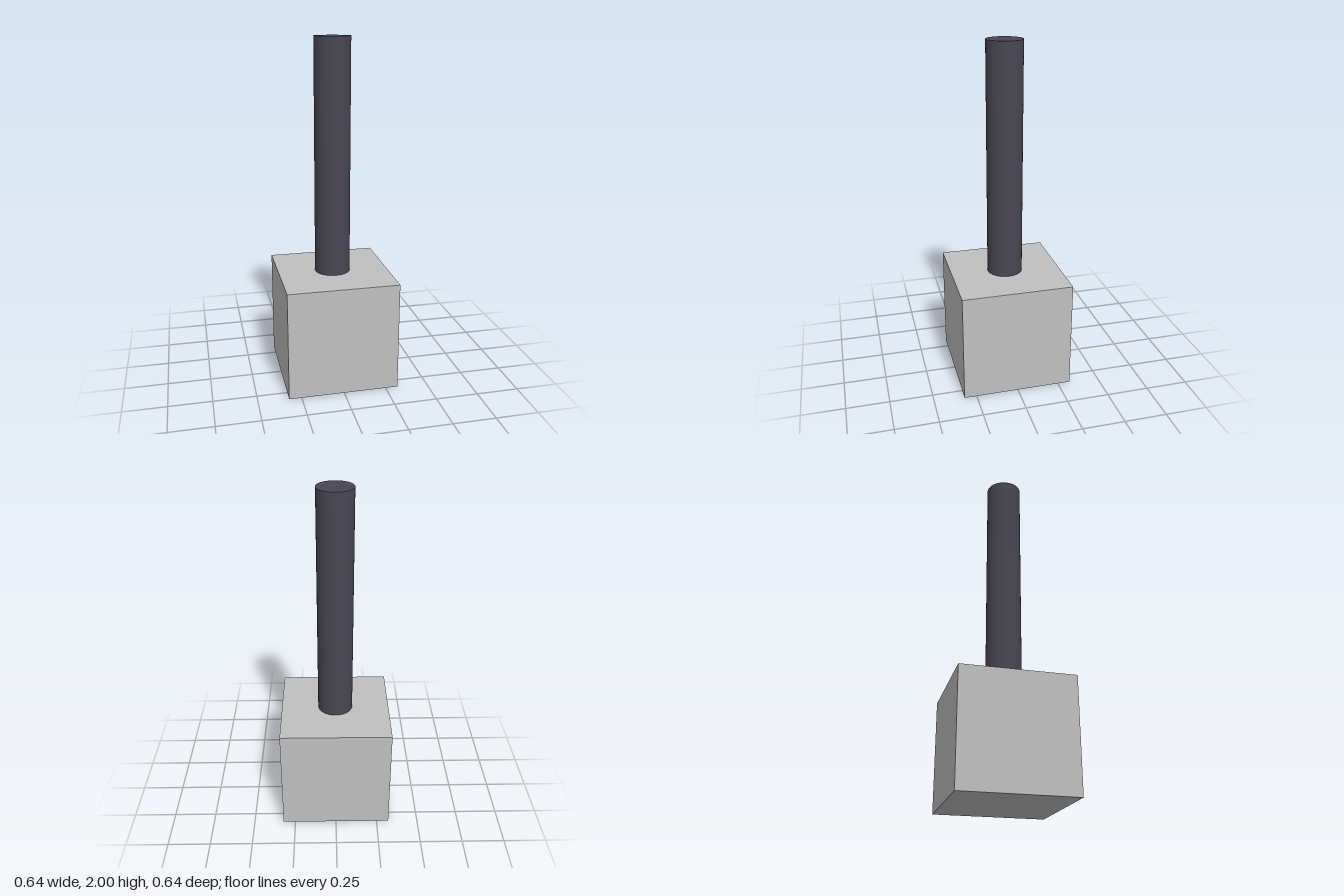
import * as THREE from 'three';

export function createModel() {
  const model = new THREE.Group();
  model.name = 'hammer';

  const stone = new THREE.MeshStandardMaterial({ color: 0xc0c0c0 });
  stone.name = 'light grey';
  const grip = new THREE.MeshStandardMaterial({ color: 0x484652 });
  grip.name = 'dark slate';

  const size = 0.645;
  const height = 2;

  // Cubic head resting on the ground
  const head = new THREE.Mesh(new THREE.BoxGeometry(size, size, size), stone);
  head.name = 'head';
  head.position.y = size / 2;

  // Round handle rising from the middle of the head
  const length = height - size;
  const handle = new THREE.Mesh(new THREE.CylinderGeometry(0.103, 0.103, length, 48), grip);
  handle.name = 'handle';
  handle.position.y = size + length / 2;

  model.add(head, handle);
  return model;
}
